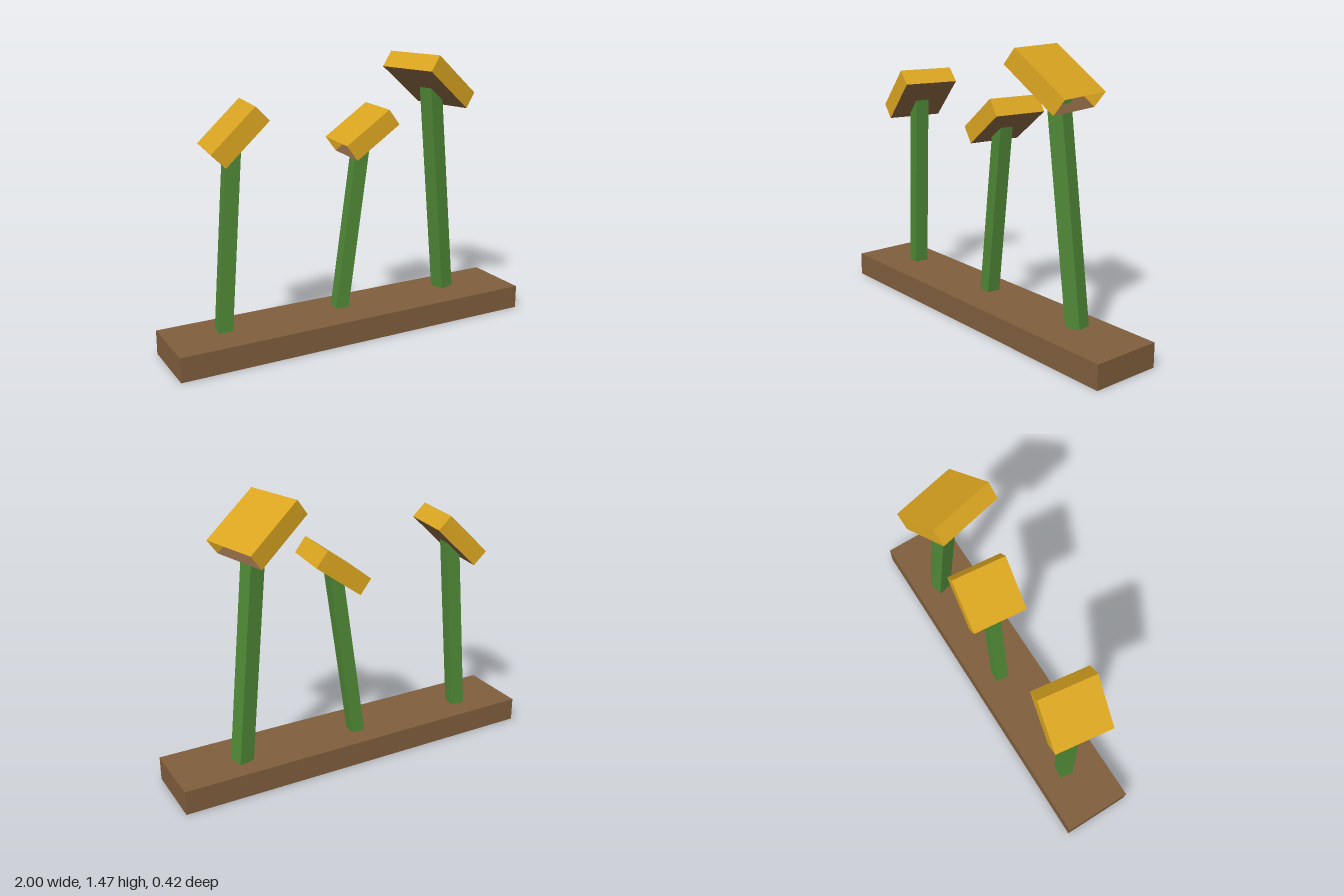
import * as THREE from 'three';

// Box face numbers in BoxGeometry order
const PX = 0, NX = 1, PY = 2, NY = 3, PZ = 4, NZ = 5;

// Box that keeps only the listed faces (6 indices each)
function boxFaces(w, h, d, faces) {
  const geo = new THREE.BoxGeometry(w, h, d);
  const all = Array.from(geo.index.array);
  geo.setIndex(faces.flatMap((f) => all.slice(f * 6, f * 6 + 6)));
  geo.clearGroups();
  return geo;
}

export function createModel() {
  const brown = new THREE.MeshStandardMaterial({ color: 0x7e5d3c, side: THREE.DoubleSide });
  brown.name = 'earth brown';
  const green = new THREE.MeshStandardMaterial({ color: 0x4f8836 });
  green.name = 'stem green';
  const yellow = new THREE.MeshStandardMaterial({ color: 0xdaa520, side: THREE.DoubleSide });
  yellow.name = 'golden yellow';

  const model = new THREE.Group();
  model.name = 'plantRow';

  const add = (parent, name, geo, mat) => {
    const mesh = new THREE.Mesh(geo, mat);
    mesh.name = name;
    parent.add(mesh);
    return mesh;
  };

  // Long planter, open underneath
  const planter = add(model, 'planter', boxFaces(2, 0.127, 0.375, [PX, NX, PY, PZ, NZ]), brown);
  planter.position.y = 0.0635;

  // Each plant: leaning square stem and a tilted head, open at its low end
  const plants = [
    { name: 'rightPlant', foot: [-0.697, 0.125, -0.03], tip: [-0.629, 1.1, -0.008], stem: 0.076,
      head: [-0.6225, 1.135, -0.01], size: 0.304, tilt: 0.775, yaw: -0.135 },
    { name: 'middlePlant', foot: [-0.03, 0.125, -0.037], tip: [0.094, 1.055, -0.02], stem: 0.073,
      head: [0.0975, 1.077, -0.025], size: 0.288, tilt: 0.63, yaw: -0.095 },
    { name: 'leftPlant', foot: [0.638, 0.125, -0.04], tip: [0.508, 1.29, -0.005], stem: 0.083,
      head: [0.4925, 1.322, -0.003], size: 0.35, tilt: -0.655, yaw: 0.23 },
  ];
  const up = new THREE.Vector3(0, 1, 0);

  for (const p of plants) {
    const plant = new THREE.Group();
    plant.name = p.name;
    model.add(plant);

    // Stem from foot to tip, turned with the head
    const foot = new THREE.Vector3(...p.foot);
    const tip = new THREE.Vector3(...p.tip);
    const along = tip.clone().sub(foot);
    const stem = add(plant, 'stem', new THREE.BoxGeometry(p.stem, along.length(), p.stem), green);
    stem.position.copy(foot).add(tip).multiplyScalar(0.5);
    stem.quaternion.setFromUnitVectors(up, along.normalize())
      .multiply(new THREE.Quaternion().setFromAxisAngle(up, p.yaw));

    // Head: yellow shell and brown underside
    const head = new THREE.Group();
    head.name = 'head';
    head.position.set(...p.head);
    head.rotation.set(0, p.yaw, p.tilt, 'YXZ');
    plant.add(head);
    const highEnd = p.tilt > 0 ? PX : NX;
    add(head, 'headShell', boxFaces(p.size, 0.098, p.size, [highEnd, PY, PZ, NZ]), yellow);
    add(head, 'headUnderside', boxFaces(p.size, 0.098, p.size, [NY]), brown);
  }
  return model;
}
